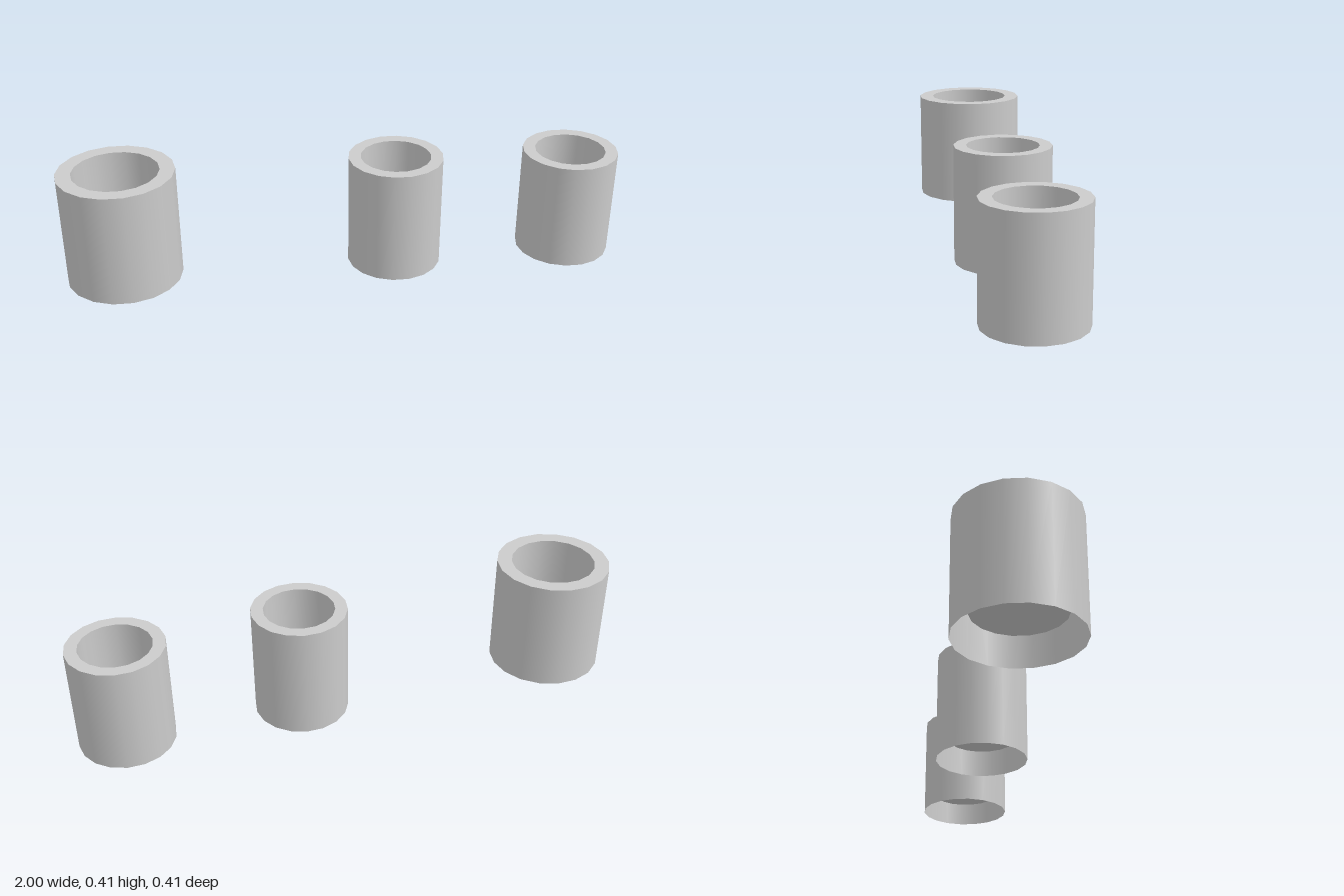
import * as THREE from 'three';

const SIDES = 18;
const material = new THREE.MeshStandardMaterial({ color: 0xcccccc, side: THREE.DoubleSide });

function addPart(group, name, geometry, y) {
  const mesh = new THREE.Mesh(geometry, material);
  mesh.name = name;
  mesh.position.y = y;
  group.add(mesh);
}

// Open tube with a corner on the x axis
function tube(radius, height) {
  return new THREE.CylinderGeometry(radius, radius, height, SIDES, 1, true, Math.PI / 2);
}

// Double-walled cup: hollow underneath, with a raised inner floor
function makeCup({ name, x, outer, inner, bottom, top, floor }) {
  const cup = new THREE.Group();
  cup.name = name;
  cup.position.x = x;
  addPart(cup, 'outerWall', tube(outer, top - bottom), (top + bottom) / 2);
  addPart(cup, 'innerWall', tube(inner, top - floor), (top + floor) / 2);
  addPart(cup, 'rim', new THREE.RingGeometry(inner, outer, SIDES).rotateX(-Math.PI / 2), top);
  addPart(cup, 'innerFloor', new THREE.CircleGeometry(inner, SIDES).rotateX(-Math.PI / 2), floor);
  return cup;
}

export function createModel() {
  const model = new THREE.Group();
  model.name = 'cups';
  const cups = [
    { name: 'largeCup', x: -0.793, outer: 0.207, inner: 0.153, bottom: 0, top: 0.413, floor: 0.085 },
    { name: 'middleCup', x: 0.191, outer: 0.17, inner: 0.126, bottom: 0, top: 0.413, floor: 0.083 },
    { name: 'smallCup', x: 0.83, outer: 0.17, inner: 0.126, bottom: 0.012, top: 0.402, floor: 0.087 },
  ];
  for (const cup of cups) model.add(makeCup(cup));
  return model;
}
